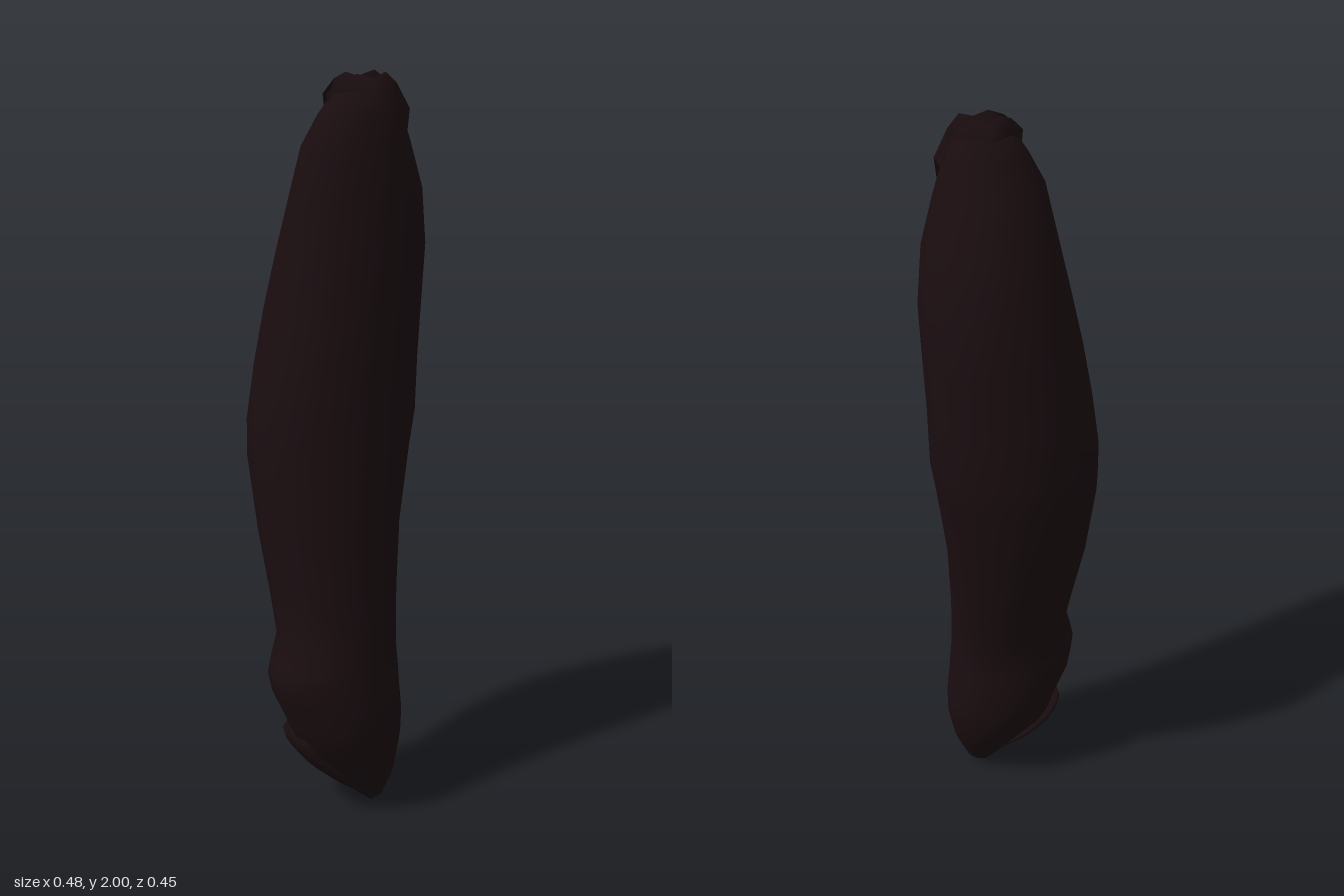
import * as THREE from 'three';

const skin = new THREE.MeshStandardMaterial({ color: 0x1a0d10, side: THREE.DoubleSide });

// Smooth loft through closed or open rows of points
function loft(rows, closed, name) {
  const n = rows[0].length, pos = rows.flat(2), index = [];
  for (let i = 0; i < rows.length - 1; i++) {
    for (let j = 0; j < (closed ? n : n - 1); j++) {
      const k = (j + 1) % n, a = i * n + j, b = i * n + k, c = a + n, d = b + n;
      index.push(a, c, b, b, c, d);
    }
  }
  const geo = new THREE.BufferGeometry();
  geo.setAttribute('position', new THREE.Float32BufferAttribute(pos, 3));
  geo.setIndex(index);
  geo.computeVertexNormals();
  const mesh = new THREE.Mesh(geo, skin);
  mesh.name = name;
  return mesh;
}

// Elliptical ring filling the given x and z extents
function ring([y, x0, x1, z0, z1], sides = 16) {
  return Array.from({ length: sides }, (_, j) => {
    const a = (j / sides) * Math.PI * 2;
    return [(x0 + x1) / 2 + Math.cos(a) * (x1 - x0) / 2, y, (z0 + z1) / 2 + Math.sin(a) * (z1 - z0) / 2];
  });
}

export function createModel() {
  const group = new THREE.Group();
  group.name = 'casing';

  // Body: height, x extents, z extents
  const sections = [
    [0.00, 0.038, 0.042, 0.108, 0.112], [0.03, 0.00, 0.07, 0.06, 0.15],
    [0.10, -0.08, 0.105, 0.01, 0.185], [0.20, -0.165, 0.135, -0.06, 0.21],
    [0.27, -0.19, 0.135, -0.075, 0.225], [0.35, -0.225, 0.132, -0.09, 0.222],
    [0.41, -0.24, 0.13, -0.088, 0.215], [0.45, -0.23, 0.127, -0.088, 0.21],
    [0.52, -0.205, 0.13, -0.095, 0.20], [0.62, -0.21, 0.14, -0.125, 0.192],
    [0.80, -0.225, 0.165, -0.18, 0.18], [1.00, -0.24, 0.205, -0.22, 0.175],
    [1.10, -0.237, 0.225, -0.228, 0.174], [1.25, -0.217, 0.228, -0.215, 0.172],
    [1.40, -0.19, 0.235, -0.20, 0.17], [1.55, -0.16, 0.24, -0.175, 0.168],
    [1.70, -0.137, 0.215, -0.125, 0.17], [1.82, -0.123, 0.17, -0.065, 0.157],
    [1.90, -0.085, 0.14, -0.02, 0.135], [1.95, -0.055, 0.115, 0.02, 0.115],
    [1.965, 0.02, 0.05, 0.06, 0.07],
  ];
  group.add(loft(sections.map((s) => ring(s)), true, 'body'));

  // Two ruffled lips on either side of the pinched top seam
  const lipX = [-0.07, -0.035, 0.0, 0.035, 0.075, 0.11, 0.15];
  const lipTop = [1.95, 1.985, 1.998, 1.985, 2.0, 1.97, 1.905];
  for (const side of [-1, 1]) {
    const rim = [], base = [], seam = [];
    lipX.forEach((x, i) => {
      const z = 0.068 + (x - 0.04) * 0.17;
      const spread = 1 - Math.abs(i - 3) / 4;
      rim.push([x, lipTop[i], z + side * 0.035 * spread]);
      base.push([x * 0.9 + 0.004, lipTop[i] - 0.06, z + side * 0.06 * spread]);
      seam.push([x * 0.9 + 0.004, Math.min(lipTop[i] - 0.02, 1.962), z + side * 0.004]);
    });
    group.add(loft([base, rim, seam], false, side > 0 ? 'frontLip' : 'rearLip'));
  }

  // Folded flap along the lower side, tapering towards the bottom tip
  const path = new THREE.CatmullRomCurve3([
    [-0.165, 0.262, 0.05], [-0.165, 0.225, 0.055], [-0.12, 0.16, 0.065],
    [-0.05, 0.092, 0.085], [0.025, 0.03, 0.105],
  ].map((p) => new THREE.Vector3(...p)));
  const fold = Array.from({ length: 11 }, (_, i) => {
    const t = i / 10, c = path.getPoint(t), r = Math.pow(Math.sin(Math.PI * (0.06 + 0.92 * t)), 0.6);
    return Array.from({ length: 10 }, (_, j) => {
      const a = (j / 10) * Math.PI * 2, u = Math.cos(a) * 0.024 * r;
      return [c.x - u * 0.7, c.y - u * 0.7, c.z - Math.sin(a) * 0.085 * r];
    });
  });
  group.add(loft(fold, true, 'foldedFlap'));

  return group;
}
